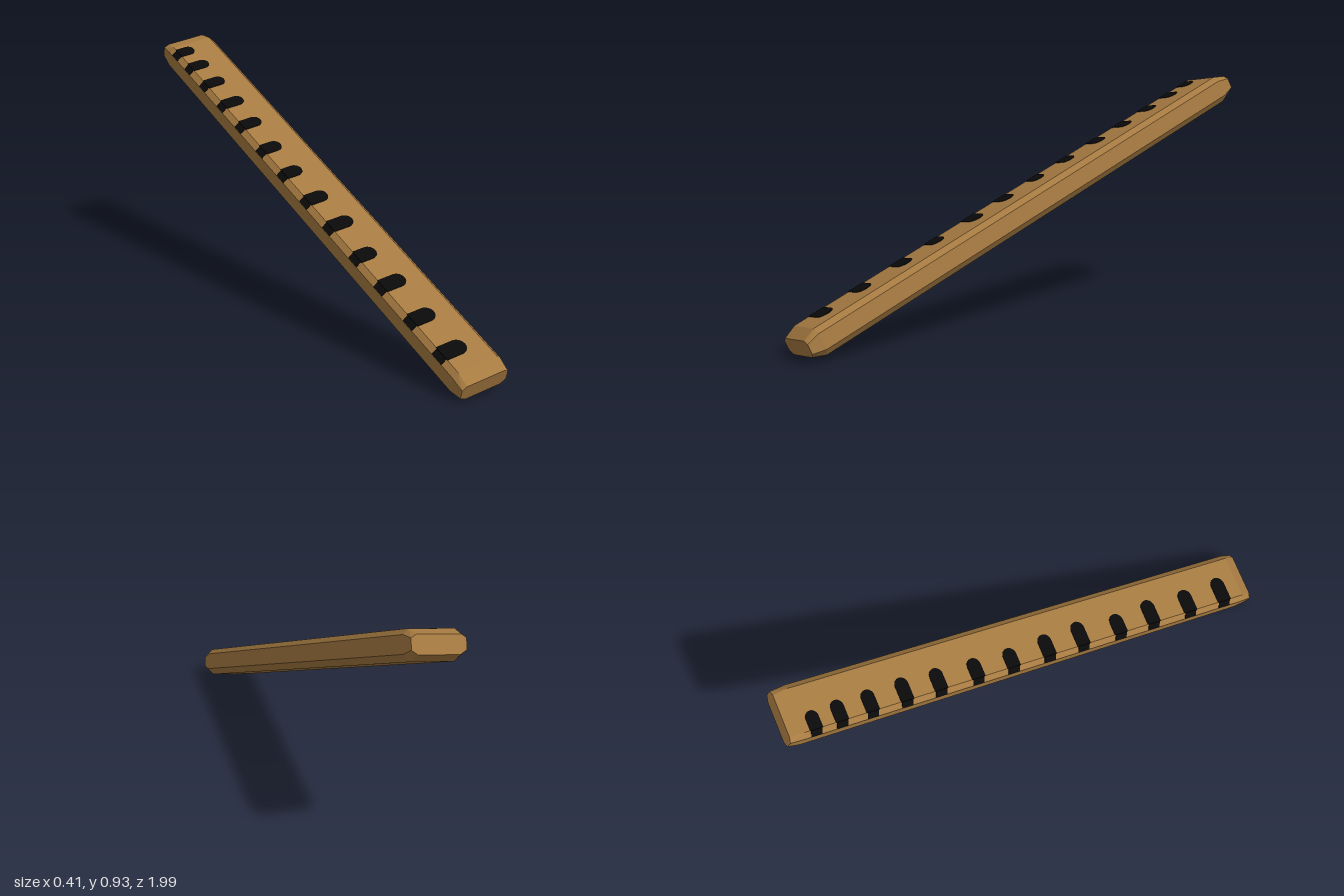
import * as THREE from 'three';
import { ConvexGeometry } from 'three/addons/geometries/ConvexGeometry.js';

export function createModel() {
  const model = new THREE.Group();
  model.name = 'notchedBar';
  const wood = new THREE.MeshStandardMaterial({ color: 0xa87c42 });
  wood.name = 'wood';
  const black = new THREE.MeshStandardMaterial({ color: 0x0a0a0a });
  black.name = 'black';

  // Bar in its own frame: x across, y through the thickness, z along the length
  const bar = new THREE.Group();
  bar.name = 'bar';
  const halfT = 0.055;

  // Chamfered section, tapering at both ends
  const section = [[0.085, halfT], [0.105, 0.035], [0.105, -0.03], [0.08, -halfT]];
  const stations = [[1.018, 1, 1], [1.072, 0.96, 0.62]];
  const points = [];
  for (const [z, su, sn] of stations)
    for (const end of [-1, 1])
      for (const side of [-1, 1])
        for (const [x, y] of section)
          points.push(new THREE.Vector3(side * x * su, y * sn, end * z));
  const body = new THREE.Mesh(new ConvexGeometry(points), wood);
  body.name = 'body';
  bar.add(body);

  // Black marks along one edge: [position along the bar, inner end]
  const marks = [
    [0.92, 0.017], [0.74, 0.009], [0.55, 0.013], [0.383, -0.004], [0.2, 0.012],
    [0.038, 0.002], [-0.13, -0.009], [-0.29, -0.006], [-0.454, 0], [-0.6, 0.004],
    [-0.744, -0.002], [-0.87, -0.005], [-0.974, -0.015],
  ];
  marks.forEach(([along, inner], i) => {
    const mark = new THREE.Group();
    mark.name = 'mark' + (i + 1);
    const r = 0.034 - i * 0.0007;
    const shape = new THREE.Shape();
    shape.moveTo(-0.086, -r);
    shape.lineTo(inner - r, -r);
    shape.absellipse(inner - r, 0, r, r, -Math.PI / 2, Math.PI / 2, false);
    shape.lineTo(-0.086, r);
    shape.closePath();
    const plate = new THREE.Mesh(
      new THREE.ExtrudeGeometry(shape, { depth: 0.003, bevelEnabled: false, curveSegments: 8 })
        .rotateX(-Math.PI / 2), black);
    plate.name = 'topMark';
    plate.position.set(0, halfT - 0.001, along);

    // The mark folds over the chamfered edge
    const fold = new THREE.Mesh(new THREE.BoxGeometry(0.026, 0.003, r * 1.7), black);
    fold.name = 'edgeMark';
    fold.position.set(-0.095, 0.045, along);
    fold.rotation.z = Math.PI / 4;
    mark.add(plate, fold);
    bar.add(mark);
  });

  // Lean the bar: front end low, back end raised, slightly rolled
  const length = new THREE.Vector3(0.106, -0.43, 1).normalize();
  const across = new THREE.Vector3(1, 0.14, -0.046);
  across.addScaledVector(length, -across.dot(length)).normalize();
  const up = new THREE.Vector3().crossVectors(length, across);
  bar.quaternion.setFromRotationMatrix(new THREE.Matrix4().makeBasis(across, up, length));
  model.add(bar);

  // Stand on the ground, centred
  model.updateMatrixWorld(true);
  const box = new THREE.Box3().setFromObject(body, true);
  const c = box.getCenter(new THREE.Vector3());
  bar.position.set(-c.x, -box.min.y, -c.z);
  return model;
}
